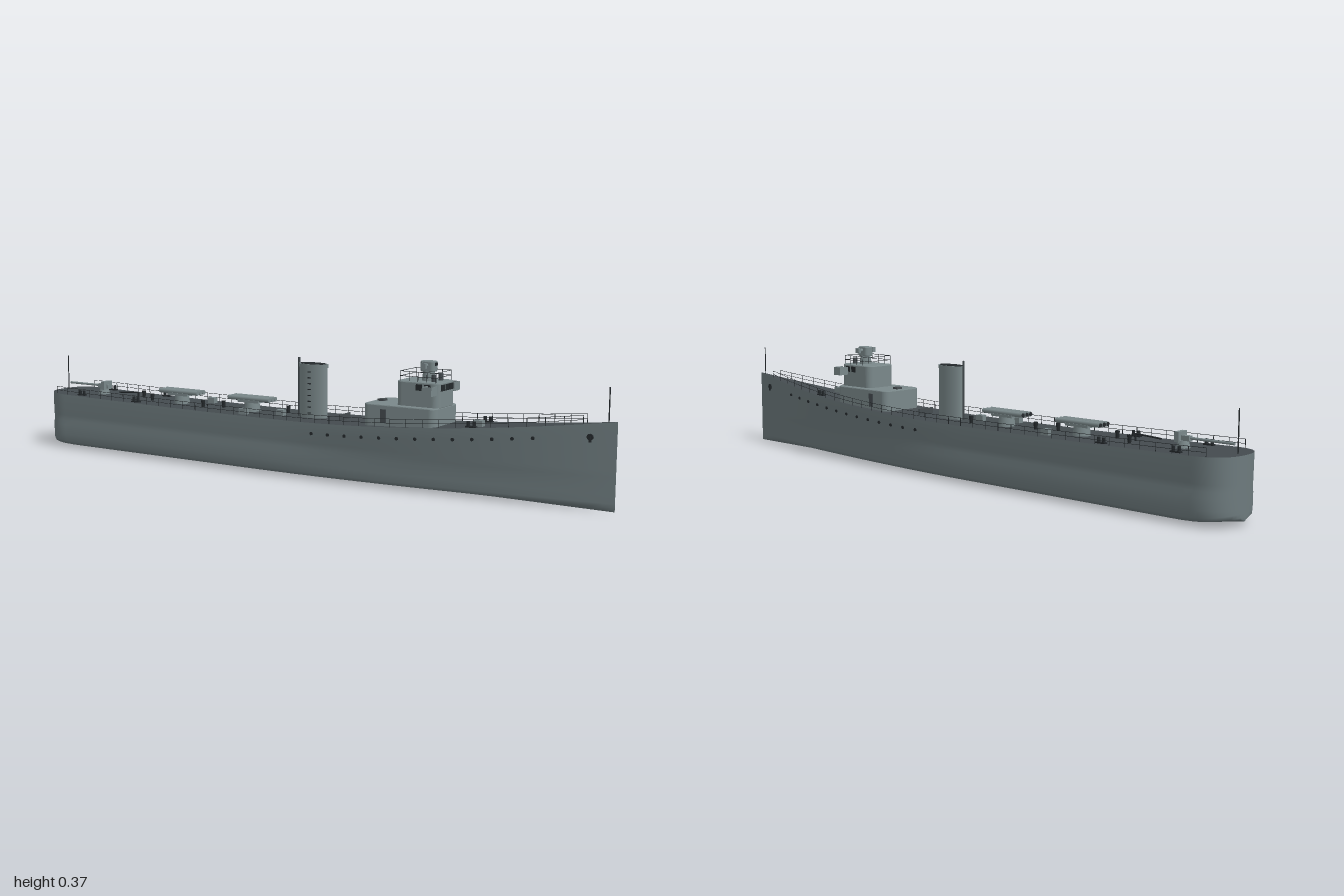
import * as THREE from 'three';

const mat = (name, color) => {
  const m = new THREE.MeshStandardMaterial({ color, side: THREE.DoubleSide });
  m.name = name;
  return m;
};

export function createModel() {
  const ship = new THREE.Group();
  ship.name = 'ship';
  const hullGrey = mat('hullGrey', 0x6d7a7d);
  const deckGrey = mat('deckGrey', 0x444b4f);
  const houseGrey = mat('houseGrey', 0x7a888a);
  const dark = mat('darkFittings', 0x24292c);

  const add = (name, geo, material, x = 0, y = 0, z = 0, parent = ship) => {
    const m = new THREE.Mesh(geo, material);
    m.name = name;
    m.position.set(x, y, z);
    parent.add(m);
    return m;
  };
  const box = (name, w, h, d, material, x, y, z, parent) =>
    add(name, new THREE.BoxGeometry(w, h, d), material, x, y, z, parent);
  const cyl = (name, r, h, material, x, y, z, r2 = r, n = 16, parent) =>
    add(name, new THREE.CylinderGeometry(r2, r, h, n), material, x, y, z, parent);
  const rod = (name, a, b, r = 0.001, material = dark) => {
    const p = new THREE.Vector3(...a), q = new THREE.Vector3(...b);
    const m = cyl(name, r, p.distanceTo(q), material, 0, 0, 0, r, 6);
    m.position.copy(p).add(q).multiplyScalar(0.5);
    m.quaternion.setFromUnitVectors(new THREE.Vector3(0, 1, 0), q.sub(p).normalize());
    return m;
  };
  // Block with rounded corners in plan, standing on y
  const roundBlock = (name, w, h, d, r, material, x, y, z = 0) => {
    const a = w / 2 - 0.003, b = d / 2 - 0.003, s = new THREE.Shape();
    s.moveTo(-a + r, -b);
    s.lineTo(a - r, -b).absarc(a - r, -b + r, r, -Math.PI / 2, 0);
    s.lineTo(a, b - r).absarc(a - r, b - r, r, 0, Math.PI / 2);
    s.lineTo(-a + r, b).absarc(-a + r, b - r, r, Math.PI / 2, Math.PI);
    s.lineTo(-a, -b + r).absarc(-a + r, -b + r, r, Math.PI, Math.PI * 1.5);
    const g = new THREE.ExtrudeGeometry(s, {
      depth: h - 0.003, bevelSize: 0.003, bevelThickness: 0.003, bevelSegments: 2, curveSegments: 6,
    });
    return add(name, g.rotateX(-Math.PI / 2), material, x, y, z);
  };

  // Hull lines: deck height, and half-breadths at deck and waterline
  const deckY = (x) => 0.174 + (x < 0 ? 0.011 * x * x : 0.071 * x ** 1.9);
  const taper = (x, start, p) => {
    if (x < -0.9) return Math.max(0, 1 - ((-0.9 - x) / 0.1) ** 2.5) ** 0.42;
    return x < start ? 1 : 1 - ((x - start) / (1 - start)) ** p;
  };
  const deckHalf = (x) => 0.101 * taper(x, 0.1, 1.9);
  const section = (x) => {
    const top = deckHalf(x), low = 0.102 * taper(x, -0.1, 1.75), dy = deckY(x);
    const rise = x < -0.85 ? 0.012 * ((-0.85 - x) / 0.15) ** 2 : 0;
    const mid = low * 0.55 + top * 0.45;
    return [[top, dy], [top * 0.8 + mid * 0.2, dy - 0.03], [mid * 0.975, 0.112], [mid * 0.965, 0.094],
      [low, 0.078], [low, 0.045], [low * 0.985, 0.022 + rise], [low * 0.94, 0.012 + rise], [low * 0.5, 0.006 + rise], [0, rise]];
  };
  const halfAt = (x, y) => {
    const s = section(x);
    for (let i = 0; i < s.length - 1; i++) {
      if (y <= s[i][1] && y >= s[i + 1][1]) {
        return THREE.MathUtils.lerp(s[i + 1][0], s[i][0], (y - s[i + 1][1]) / (s[i][1] - s[i + 1][1]));
      }
    }
    return s[0][0];
  };
  const loft = (rows) => {
    const n = rows[0].length, index = [];
    for (let i = 0; i < rows.length - 1; i++) {
      for (let j = 0; j < n - 1; j++) {
        const a = i * n + j;
        index.push(a, a + 1, a + n, a + 1, a + n + 1, a + n);
      }
    }
    const g = new THREE.BufferGeometry();
    g.setAttribute('position', new THREE.Float32BufferAttribute(rows.flat(2), 3));
    g.setIndex(index);
    g.computeVertexNormals();
    return g;
  };
  const stations = [];
  for (let i = 0; i < 14; i++) stations.push(-0.9 - 0.1 * Math.cos((i / 14) * Math.PI / 2));
  for (let i = 0; i <= 60; i++) stations.push(-0.9 + (1.9 * i) / 60);
  add('hull', loft(stations.map((x) => {
    const s = section(x);
    return [...s.map(([z, y]) => [x, y, z]), ...s.slice(0, -1).reverse().map(([z, y]) => [x, y, -z])];
  })), hullGrey);
  add('deck', loft(stations.map((x) => [-1, 0, 1].map((k) => [x, deckY(x), k * deckHalf(x)]))), deckGrey);

  for (const s of [1, -1]) {
    // Portholes and anchors
    for (let i = 0; i < 13; i++) {
      const x = 0.1 + i * 0.0565, y = deckY(x) - 0.032;
      cyl('porthole', 0.005, 0.006, dark, x, y, s * halfAt(x, y), 0.005, 12).rotation.x = Math.PI / 2;
    }
    const az = s * halfAt(0.93, 0.2);
    cyl('hawsePipe', 0.009, 0.008, dark, 0.93, 0.2, az, 0.009, 12).rotation.x = Math.PI / 2;
    box('anchor', 0.006, 0.022, 0.006, dark, 0.93, 0.197, az + s * 0.002);

    // Guard rails following the deck edge
    const edge = (x, h) => [x, deckY(x) + h, s * Math.max(0, deckHalf(x) - 0.003)];
    for (let i = 0; i < 38; i++) {
      const x = -0.94 + i * 0.05;
      rod('railPost', edge(x, 0), edge(x, 0.024), 0.0009);
    }
    for (const h of [0.012, 0.024]) {
      const pts = Array.from({ length: 38 }, (_, i) => new THREE.Vector3(...edge(-0.94 + i * 0.05, h)));
      add('railWire', new THREE.TubeGeometry(new THREE.CatmullRomCurve3(pts), 76, 0.0007, 4), dark);
    }

    // Mooring bollards
    for (const [x, z] of [[-0.84, 0.078], [-0.6, 0.08], [0.6, 0.055]]) {
      box('bollardBase', 0.032, 0.004, 0.012, dark, x, deckY(x) + 0.002, s * z);
      for (const d of [-0.009, 0.009]) cyl('bollard', 0.005, 0.016, dark, x + d, deckY(x) + 0.009, s * z, 0.005, 10);
    }
  }

  // Deckhouse and bridge
  roundBlock('deckhouse', 0.236, 0.08, 0.15, 0.018, houseGrey, 0.378, 0.165);
  box('deckhouseHatch', 0.02, 0.006, 0.022, deckGrey, 0.285, 0.248, 0);
  roundBlock('bridge', 0.138, 0.071, 0.11, 0.018, houseGrey, 0.427, 0.245);
  for (const z of [-0.027, 0, 0.027]) box('bridgeWindow', 0.004, 0.018, 0.023, dark, 0.4955, 0.301, z);
  for (const s of [1, -1]) {
    for (const x of [0.435, 0.462]) box('bridgeSideWindow', 0.02, 0.018, 0.004, dark, x, 0.301, s * 0.0545);
    box('deckhouseDoor', 0.018, 0.04, 0.004, deckGrey, 0.33, 0.212, s * 0.0745);
    // Open bridge wings
    box('wingFloor', 0.03, 0.003, 0.036, houseGrey, 0.477, 0.284, s * 0.072);
    box('wingEnd', 0.03, 0.026, 0.002, houseGrey, 0.477, 0.295, s * 0.089);
    for (const x of [0.463, 0.491]) box('wingScreen', 0.002, 0.026, 0.036, houseGrey, x, 0.295, s * 0.072);
    // Bridge roof rail and lamps
    for (const h of [0.33, 0.344]) rod('roofRail', [0.37, h, s * 0.048], [0.485, h, s * 0.048], 0.0008);
    for (let i = 0; i < 5; i++) rod('roofRailPost', [0.37 + i * 0.0287, 0.315, s * 0.048], [0.37 + i * 0.0287, 0.344, s * 0.048], 0.0008);
    cyl('signalLamp', 0.007, 0.02, deckGrey, 0.465, 0.326, s * 0.021, 0.007, 12);
  }
  for (const x of [0.37, 0.485]) for (const h of [0.33, 0.344]) rod('roofRail', [x, h, -0.048], [x, h, 0.048], 0.0008);

  // Range finder
  cyl('directorPedestal', 0.02, 0.032, houseGrey, 0.437, 0.33, 0, 0.016);
  roundBlock('directorHead', 0.046, 0.028, 0.032, 0.008, houseGrey, 0.437, 0.345);
  cyl('directorArm', 0.006, 0.07, houseGrey, 0.437, 0.361, 0).rotation.x = Math.PI / 2;
  for (const s of [1, -1]) {
    box('directorLensBox', 0.016, 0.016, 0.01, houseGrey, 0.437, 0.361, s * 0.032);
    box('directorWindow', 0.003, 0.009, 0.006, dark, 0.4605, 0.364, s * 0.005);
  }

  // Oval funnel with cap, steam pipe and ladder
  const oval = (m) => m.scale.set(1, 1, 0.48);
  oval(cyl('funnel', 0.048, 0.168, houseGrey, 0.043, 0.255, 0, 0.048, 32));
  oval(cyl('funnelBand', 0.051, 0.01, houseGrey, 0.043, 0.334, 0, 0.051, 32));
  oval(cyl('funnelMouth', 0.045, 0.003, dark, 0.043, 0.339, 0, 0.045, 32));
  rod('steamPipe', [-0.009, 0.172, 0], [-0.009, 0.356, 0], 0.0035, deckGrey);
  for (let i = 0; i < 8; i++) box('funnelRung', 0.01, 0.003, 0.004, dark, 0.043, 0.19 + i * 0.018, 0.0245);

  // Triple torpedo launchers
  for (const x of [-0.47, -0.187]) {
    cyl('launcherBase', 0.026, 0.034, houseGrey, x, 0.191, 0, 0.022, 20);
    box('launcherCradle', 0.08, 0.008, 0.05, houseGrey, x, 0.207, 0);
    for (const z of [-0.017, 0, 0.017]) {
      cyl('launchTube', 0.0075, 0.156, houseGrey, x, 0.215, z, 0.0075, 12).rotation.z = Math.PI / 2;
      cyl('tubeMouth', 0.006, 0.002, dark, x - 0.079, 0.215, z, 0.006, 12).rotation.z = Math.PI / 2;
    }
  }

  // Stern gun
  cyl('gunBase', 0.02, 0.022, houseGrey, -0.81, 0.19, 0, 0.014);
  box('gunBreech', 0.045, 0.014, 0.016, houseGrey, -0.81, 0.208, 0);
  box('gunShield', 0.014, 0.028, 0.04, houseGrey, -0.8, 0.211, 0);
  rod('gunBarrel', [-0.965, 0.209, 0], [-0.82, 0.209, 0], 0.004, houseGrey);

  // Deck fittings: lockers, vents, davit and breakwater
  for (const [x, z] of [[-0.39, -0.06], [-0.17, 0.07], [-0.06, 0.025], [0.615, 0.035]]) {
    box('locker', 0.026, 0.018, 0.018, houseGrey, x, deckY(x) + 0.009, z);
  }
  for (const [x, z] of [[-0.65, -0.02], [-0.58, 0.02], [-0.36, 0.03], [-0.3, 0], [-0.07, -0.03]]) {
    cyl('vent', 0.005, 0.022, dark, x, deckY(x) + 0.011, z, 0.007, 10);
  }
  rod('davitPost', [-0.645, 0.175, 0.015], [-0.645, 0.2, 0.015], 0.003);
  rod('davitArm', [-0.73, 0.194, 0.015], [-0.645, 0.199, 0.015], 0.0025);
  box('breakwater', 0.004, 0.02, 0.06, deckGrey, 0.155, 0.185, 0);

  // Flagstaffs
  rod('ensignStaff', [-0.975, 0.183, 0], [-0.975, 0.302, 0], 0.0017);
  rod('jackStaff', [0.975, 0.24, 0], [0.975, 0.336, 0], 0.0017);
  return ship;
}
